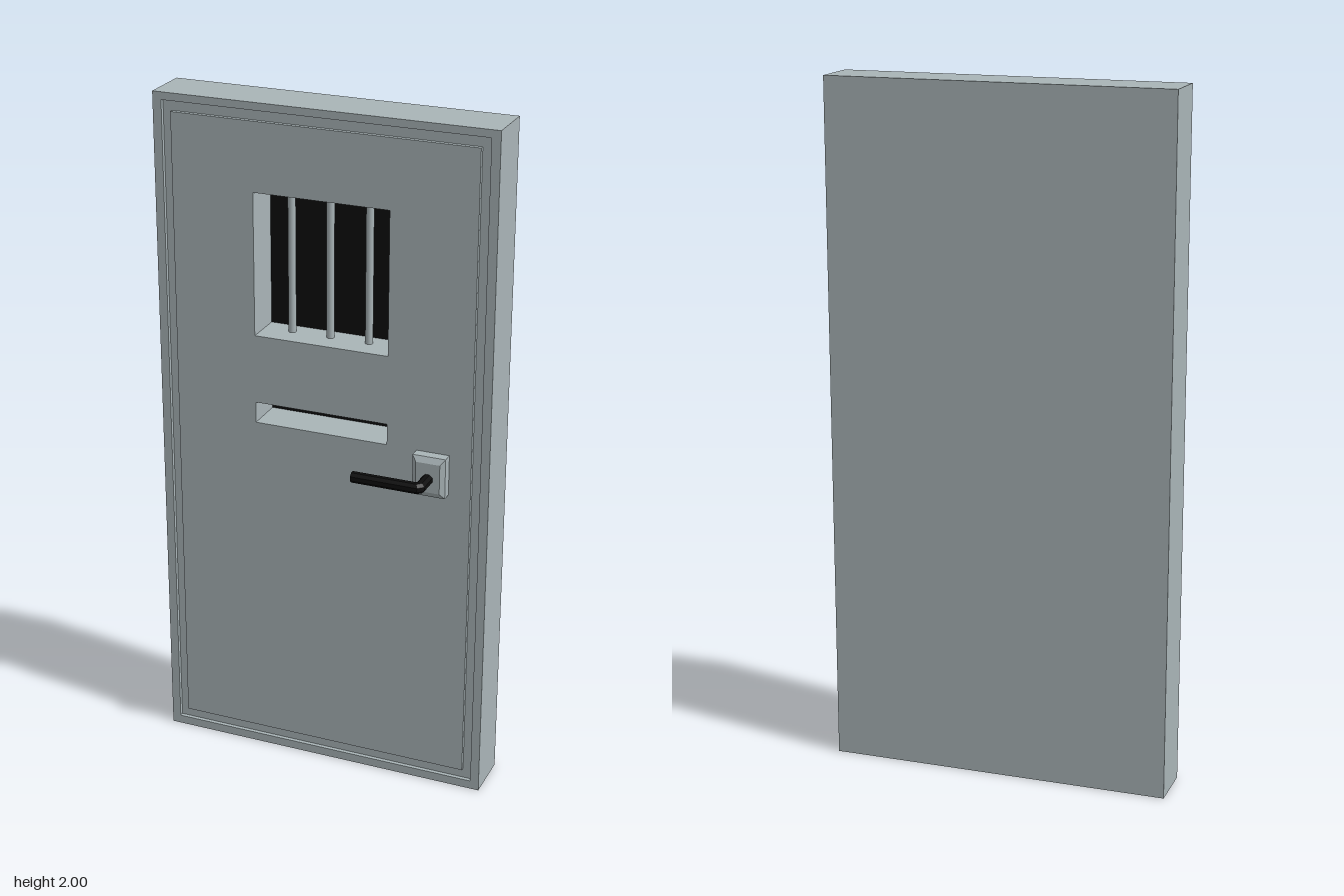
import * as THREE from 'three';

export function createModel() {
  const group = new THREE.Group();
  const steel = new THREE.MeshStandardMaterial({ name: 'grey steel', color: 0xaab5b8 });
  const black = new THREE.MeshStandardMaterial({ name: 'black', color: 0x0d0d0d });

  const add = (name, geometry, material, x = 0, y = 0, z = 0) => {
    const mesh = new THREE.Mesh(geometry, material);
    mesh.name = name;
    mesh.position.set(x, y, z);
    group.add(mesh);
    return mesh;
  };

  // Rectangular outline, usable as a shape or a hole
  const rect = (x0, y0, x1, y1, Type = THREE.Shape) => new Type([
    [x0, y0], [x1, y0], [x1, y1], [x0, y1],
  ].map(([x, y]) => new THREE.Vector2(x, y)));

  const slab = (outline, holes, depth) => {
    outline.holes = holes.map((h) => rect(...h, THREE.Path));
    return new THREE.ExtrudeGeometry(outline, { depth, bevelEnabled: false });
  };

  const back = -0.136, front = 0.014, recess = -0.106, groove = 0.002;
  const windowHole = [-0.203, 1.33, 0.197, 1.748];
  const slotHole = [-0.203, 1.065, 0.197, 1.127];
  const openings = [windowHole, slotHole];

  // Door leaf: closed back, pierced core, then a rim and panel separated by a groove
  add('doorBack', slab(rect(-0.5, 0, 0.5, 2), [], recess - back), steel, 0, 0, back);
  add('doorCore', slab(rect(-0.5, 0, 0.5, 2), openings, groove - recess), steel, 0, 0, recess);
  add('doorRim', slab(rect(-0.5, 0, 0.5, 2), [[-0.474, 0.026, 0.474, 1.978]], front - groove),
    steel, 0, 0, groove);
  add('doorPanel', slab(rect(-0.447, 0.057, 0.447, 1.948), openings, front - groove),
    steel, 0, 0, groove);

  // Dark backing inside the window and the slot
  openings.forEach(([x0, y0, x1, y1], i) => {
    add(i ? 'slotBacking' : 'windowBacking', new THREE.BoxGeometry(x1 - x0, y1 - y0, 0.004),
      black, (x0 + x1) / 2, (y0 + y1) / 2, recess + 0.002);
  });

  // Window bars
  for (const x of [-0.119, -0.003, 0.113]) {
    add('windowBar', new THREE.CylinderGeometry(0.011, 0.011, 0.418, 16), steel, x, 1.539, -0.058);
  }

  // Handle plate: a box with its front edges chamfered
  const plate = new THREE.BoxGeometry(0.097, 0.12, 0.03);
  add('handlePlate', plate, steel, 0.334, 1.004, front + 0.015);
  const bevel = new THREE.BoxGeometry(0.097, 0.12, 0.01);
  const p = bevel.attributes.position;
  for (let i = 0; i < p.count; i++) {
    if (p.getZ(i) > 0) p.setXY(i, p.getX(i) * 0.73, p.getY(i) * 0.73);
  }
  bevel.computeVertexNormals();
  add('handlePlateBevel', bevel, steel, 0.334, 1.004, front + 0.035);

  // Lever: an octagonal bar swept along a bent path with mitred joints
  const path = [[0.3335, 0.05], [0.3335, 0.1105], [0.326, 0.118], [0.135, 0.118]]
    .map(([x, z]) => new THREE.Vector2(x, z));
  const sides = 8, radius = 0.0162;
  const dirs = path.slice(1).map((q, i) => q.clone().sub(path[i]).normalize());
  const rings = path.map((q, i) => {
    const a = dirs[Math.max(i - 1, 0)], b = dirs[Math.min(i, dirs.length - 1)];
    const t = a.clone().add(b).normalize();
    const stretch = radius / t.dot(a);
    return Array.from({ length: sides }, (_, k) => {
      const angle = ((k + 0.5) / sides) * Math.PI * 2;
      const side = Math.cos(angle) * stretch;
      return [q.x + t.y * side, 1 + Math.sin(angle) * radius, q.y - t.x * side];
    });
  });
  const verts = [];
  for (let i = 0; i < rings.length - 1; i++) {
    for (let k = 0; k < sides; k++) {
      const n = (k + 1) % sides;
      const [a, b, c, d] = [rings[i][k], rings[i][n], rings[i + 1][n], rings[i + 1][k]];
      verts.push(...a, ...b, ...c, ...a, ...c, ...d);
    }
  }
  const first = rings[0], last = rings[rings.length - 1];
  for (let k = 1; k < sides - 1; k++) {
    verts.push(...first[0], ...first[k + 1], ...first[k]);
    verts.push(...last[0], ...last[k], ...last[k + 1]);
  }
  const lever = new THREE.BufferGeometry();
  lever.setAttribute('position', new THREE.Float32BufferAttribute(verts, 3));
  lever.computeVertexNormals();
  add('handleLever', lever, black);

  return group;
}
